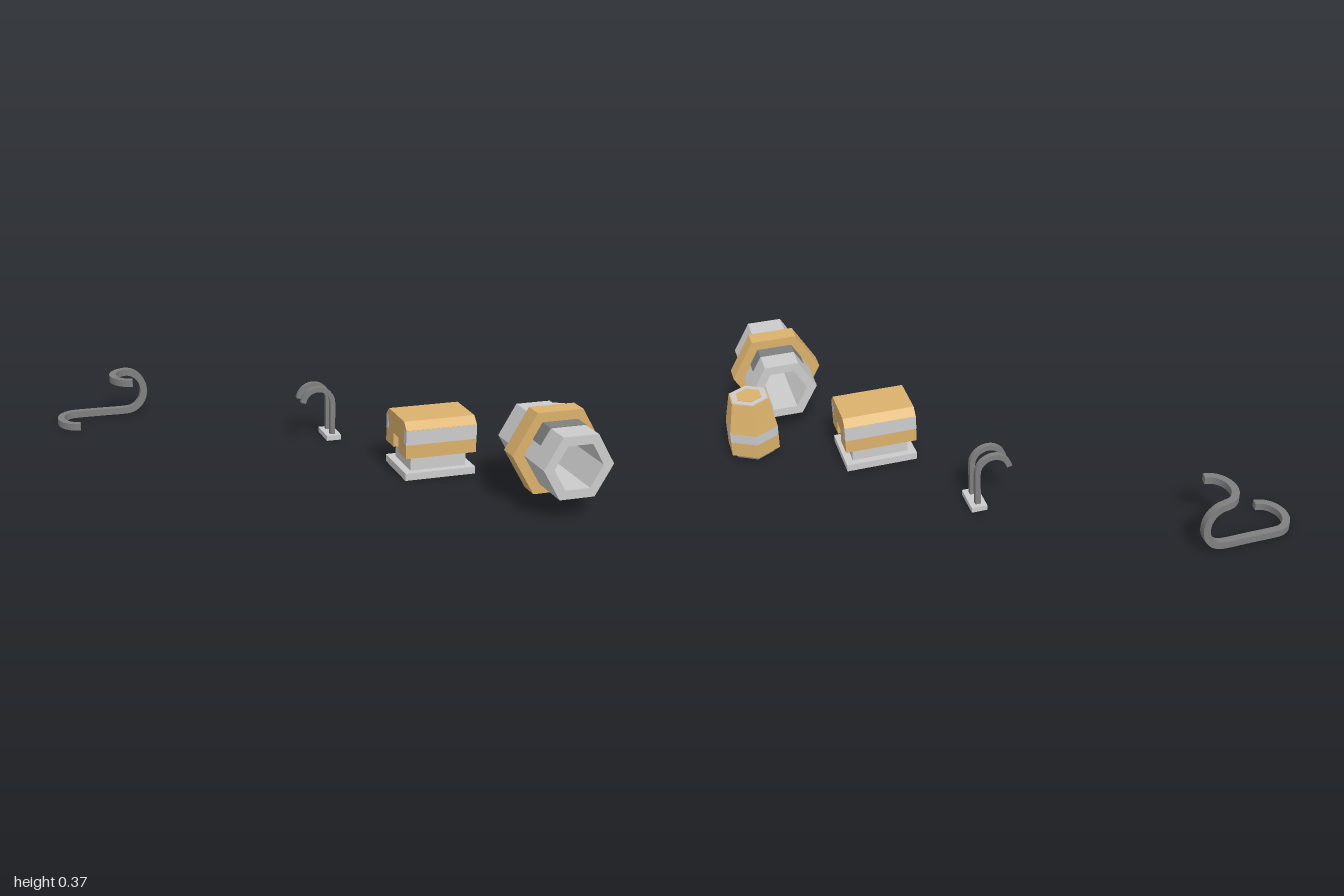
import * as THREE from 'three';

const GREY = new THREE.MeshStandardMaterial({ color: 0xcccccc, flatShading: true });
const DARK = new THREE.MeshStandardMaterial({ color: 0x7f7f7f, flatShading: true });
const GOLD = new THREE.MeshStandardMaterial({ color: 0xdbb16c, flatShading: true });

function add(parent, name, geometry, material, x = 0, y = 0, z = 0) {
  const mesh = new THREE.Mesh(geometry, material);
  mesh.name = name;
  mesh.position.set(x, y, z);
  parent.add(mesh);
  return mesh;
}

function group(parent, name, x, y, z) {
  const g = new THREE.Group();
  g.name = name;
  g.position.set(x, y, z);
  parent.add(g);
  return g;
}

const box = (w, h, d) => new THREE.BoxGeometry(w, h, d);
const shapeOf = (pts) => new THREE.Shape(pts.map(([x, y]) => new THREE.Vector2(x, y)));

// Extrusion along z, centred on z = 0
function slab(shape, depth) {
  return new THREE.ExtrudeGeometry(shape, { depth, bevelEnabled: false }).translate(0, 0, -depth / 2);
}

// Hexagon with flat top and corners at +-x
const hexPoints = (r) => Array.from({ length: 6 }, (_, i) => {
  const a = (i * Math.PI) / 3;
  return [r * Math.cos(a), r * Math.sin(a)];
});

function hexRing(outer, inner, depth) {
  const shape = shapeOf(hexPoints(outer));
  shape.holes.push(shapeOf(hexPoints(inner)));
  return slab(shape, depth);
}

// Square bar swept along points
function bar(points, size, steps) {
  const h = size / 2;
  const square = shapeOf([[-h, -h], [h, -h], [h, h], [-h, h]]);
  const path = new THREE.CatmullRomCurve3(points);
  return new THREE.ExtrudeGeometry(square, { steps, extrudePath: path, bevelEnabled: false });
}

// Points of an arc; place(cos, sin) puts each one in space
function arc(from, to, n, place) {
  return Array.from({ length: n + 1 }, (_, i) => {
    const a = from + ((to - from) * i) / n;
    return new THREE.Vector3(...place(Math.cos(a), Math.sin(a)));
  });
}

// Long hook: flat curl, straight run, upright bend, second flat curl
function addLongHook(root) {
  const q = Math.PI / 2;
  const points = [
    ...arc(q, 3 * q, 12, (c, s) => [-0.91 + 0.076 * c, 0.015, -0.766 + 0.09 * s]),
    new THREE.Vector3(-0.8, 0.015, -0.856),
    ...arc(-q, q, 12, (c, s) => [-0.68 + 0.082 * c, 0.106 + 0.091 * s, -0.856]),
    ...arc(3 * q, q, 12, (c, s) => [-0.67 + 0.076 * c, 0.197, -0.766 + 0.09 * s]),
  ];
  add(root, 'longHook', bar(points, 0.03, 80), DARK);
}

// Two upright crooks on a small foot plate
function addTwinHooks(root) {
  const g = group(root, 'twinHooks', 0.131, 0, -0.287);
  add(g, 'footPlate', box(0.065, 0.022, 0.13), GREY, 0, 0.011, 0);
  const points = [
    new THREE.Vector3(0, 0.015, 0),
    new THREE.Vector3(0, 0.08, 0),
    ...arc(0, Math.PI * 0.95, 14, (c, s) => [-0.066 + 0.066 * c, 0.164 + 0.066 * s, 0]),
  ];
  for (const z of [-0.035, 0.035]) add(g, 'crook', bar(points, 0.022, 40), DARK, 0, 0, z);
}

// Chamfered case on a pedestal, with slots in both ends
function addCase(root) {
  const g = group(root, 'case', 0.415, 0, 0.2);
  add(g, 'basePlate', box(0.3, 0.03, 0.24), GREY, 0, 0.015, 0);
  add(g, 'pedestal', box(0.236, 0.066, 0.18), GREY, 0, 0.061, 0);
  add(g, 'slotCore', box(0.238, 0.08, 0.06), GREY, 0, 0.114, 0);

  const roof = [[0.12, 0.093], [0.12, 0.211], [0.09, 0.241], [-0.09, 0.241], [-0.12, 0.211], [-0.12, 0.093]];
  const slot = [[-0.03, 0.093], [-0.03, 0.153], [0.03, 0.153], [0.03, 0.093]];
  add(g, 'caseBody', slab(shapeOf(roof), 0.236).rotateY(Math.PI / 2), GOLD);
  for (const s of [-1, 1]) {
    const wall = slab(shapeOf([...roof, ...slot]), 0.032).rotateY(Math.PI / 2);
    add(g, 'slottedEnd', wall, GOLD, s * 0.134, 0, 0);
    add(g, 'sideBand', box(0.301, 0.06, 0.03), GREY, 0, 0.18, s * 0.1058);
  }
}

// Six-sided barrel standing upright
function addBarrel(root) {
  const g = group(root, 'barrel', 0.9, 0, 0.372);
  const layer = (name, top, bottom, y0, y1, material) =>
    add(g, name, new THREE.CylinderGeometry(top, bottom, y1 - y0, 6), material, 0, (y0 + y1) / 2, 0);
  layer('barrelFoot', 0.089, 0.089, 0, 0.024, DARK);
  layer('lowerBarrel', 0.115, 0.115, 0.023, 0.087, GOLD);
  layer('barrelBand', 0.115, 0.115, 0.087, 0.13, GREY);
  layer('upperBarrel', 0.088, 0.115, 0.13, 0.262, GOLD);
  layer('lidRim', 0.083, 0.083, 0.255, 0.264, GREY);
  layer('lidCentre', 0.056, 0.056, 0.255, 0.266, GOLD);
}

// Six-sided tube lying along z, with a collar and a dark saddle
function addTube(root) {
  const g = group(root, 'hexTube', 0.74, 0.208, 0.66);
  add(g, 'tubeWall', hexRing(0.142, 0.1, 0.41), GREY);
  add(g, 'collar', hexRing(0.188, 0.14, 0.078), GOLD, 0, 0, -0.006);
  const saddle = shapeOf([
    [0.11, 0.06], [0.0725, 0.125], [-0.0725, 0.125], [-0.11, 0.06],
    [-0.095, 0.06], [-0.064, 0.114], [0.064, 0.114], [0.095, 0.06],
  ]);
  add(g, 'saddle', slab(saddle, 0.205), DARK, 0, 0, -0.003);
}

export function createModel() {
  const root = new THREE.Group();
  root.name = 'partsSet';
  addLongHook(root);
  addTwinHooks(root);
  addCase(root);
  addBarrel(root);
  addTube(root);
  return root;
}
